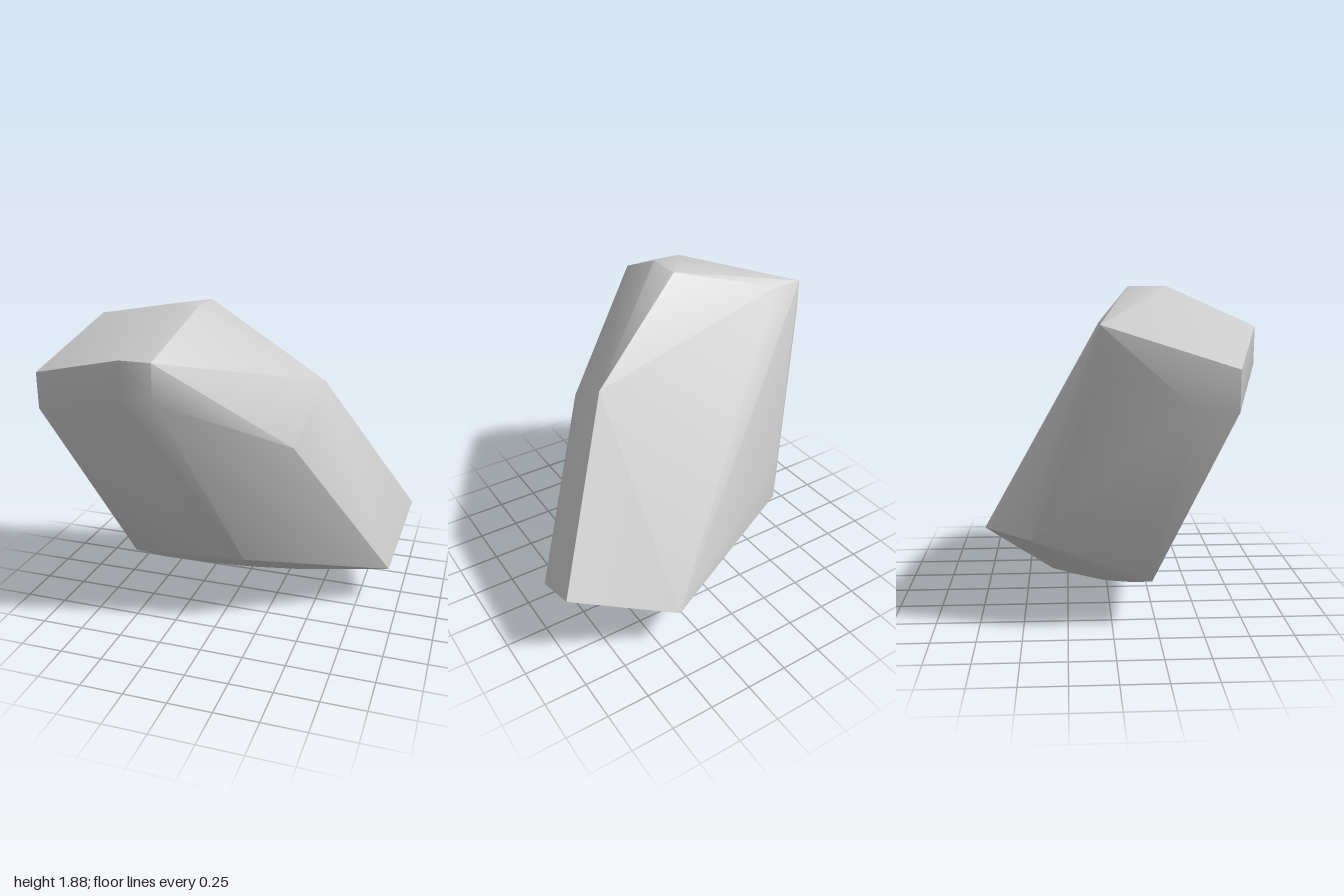
import * as THREE from 'three';
import { ConvexGeometry } from 'three/addons/geometries/ConvexGeometry.js';
import { toCreasedNormals } from 'three/addons/utils/BufferGeometryUtils.js';

// Corner rings of the leaning boulder
const crown = [
  [-0.13, 1.88, 0.11], [-0.13, 1.88, 0.32], [-0.30, 1.88, 0.32],
  [-0.91, 1.72, -0.08], [-0.73, 1.72, -0.08], [-0.91, 1.52, -0.08],
];
const frontBevel = [
  [-0.22, 1.67, 0.79], [-0.40, 1.67, 0.79], [-0.22, 1.46, 0.79], [-0.40, 1.46, 0.79],
  [-1.00, 1.51, 0.60], [-1.00, 1.30, 0.60], [-1.00, 1.30, 0.40],
];
const flank = [
  [0.49, 1.40, -0.10], [0.42, 1.13, 0.35],
  [1.00, 0.49, -0.58], [0.93, 0.22, -0.12],
];
const foot = [
  [0.16, 0.44, 0.43], [0.00, 0.44, 0.43], [-0.62, 0.28, 0.22],
  [-0.52, 0.69, -0.45], [-0.52, 0.49, -0.45], [0.41, 0.27, -0.80],
];
// Slightly rounded keel that the boulder rests on
const keel = [
  [-0.46, 0.212, 0.13], [-0.20, 0.125, -0.03], [0.06, 0.06, -0.18], [0.34, 0, -0.35],
];

export function createModel() {
  const group = new THREE.Group();
  group.name = 'rock';

  const points = [...crown, ...frontBevel, ...flank, ...foot, ...keel]
    .map((p) => new THREE.Vector3(...p));
  const geometry = toCreasedNormals(new ConvexGeometry(points), 0.7);

  const boulder = new THREE.Mesh(geometry, new THREE.MeshStandardMaterial({ color: 0xcccccc }));
  boulder.name = 'boulder';
  group.add(boulder);
  return group;
}
